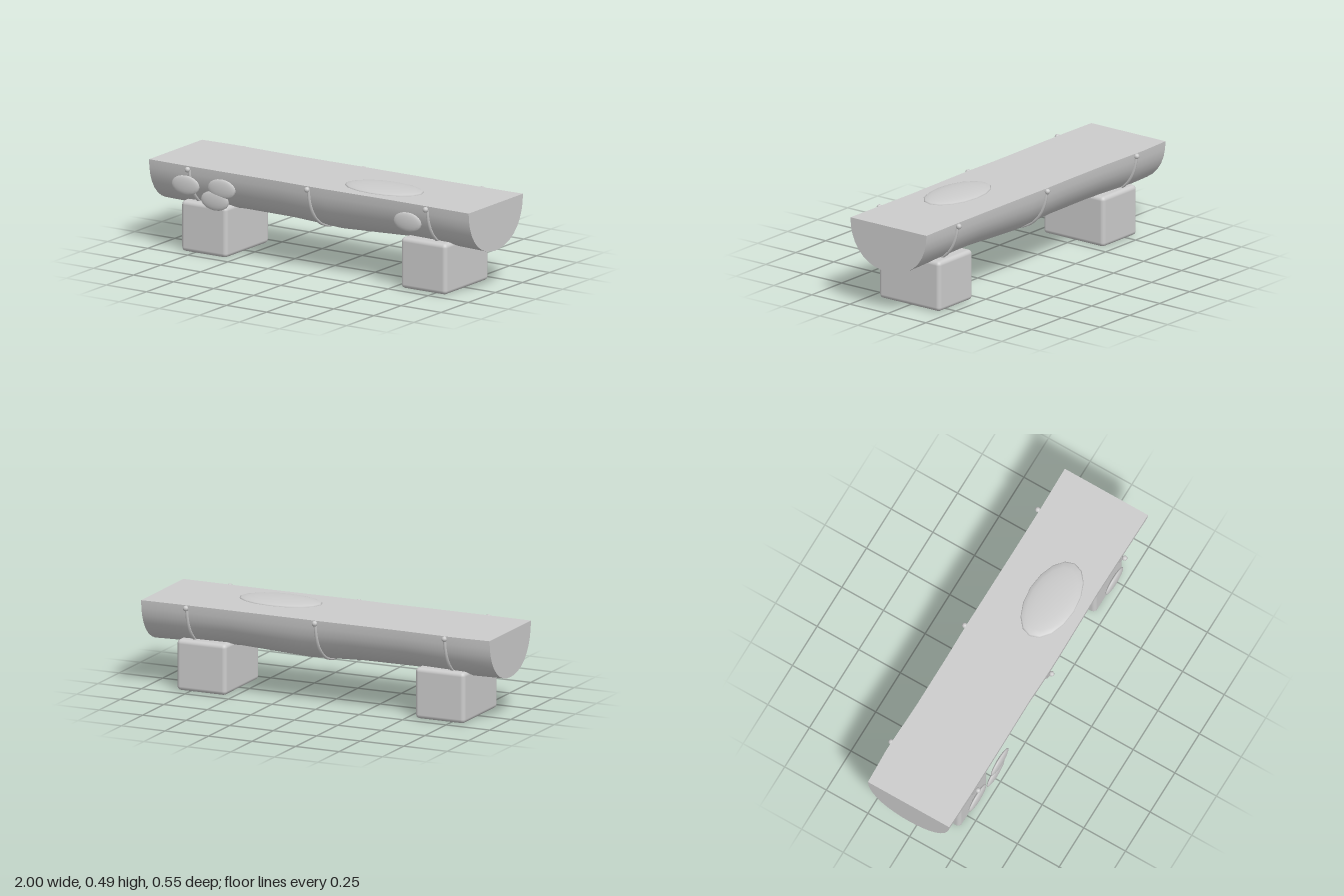
import * as THREE from 'three';
import { toCreasedNormals } from 'three/addons/utils/BufferGeometryUtils.js';
import { RoundedBoxGeometry } from 'three/addons/geometries/RoundedBoxGeometry.js';

const TOP = 0.473;
const ARC = 18;

// Cross-sections along the log: x, front half-width, back half-width, depth
const SECTIONS = [
  [-1, 0.238, 0.25, 0.247], [-0.8, 0.242, 0.258, 0.25], [-0.5, 0.242, 0.25, 0.236],
  [-0.2, 0.24, 0.25, 0.238], [0, 0.245, 0.253, 0.248], [0.1, 0.245, 0.252, 0.254],
  [0.5, 0.24, 0.25, 0.235], [0.75, 0.243, 0.25, 0.242], [1, 0.246, 0.254, 0.249],
];

// Interpolated section at x
function section(x) {
  const i = Math.max(1, SECTIONS.findIndex((s) => s[0] >= x));
  const a = SECTIONS[i - 1], b = SECTIONS[i];
  const t = (x - a[0]) / (b[0] - a[0]);
  return a.map((v, k) => THREE.MathUtils.lerp(v, b[k], t));
}

// Point on the rounded underside; angle 0 is the front rim, PI the back rim
function logPoint(x, angle, grow = 0) {
  const [, front, back, depth] = section(x);
  const c = Math.cos(angle);
  const bulge = 1 + 0.025 * Math.sin(2 * angle) ** 2;
  return new THREE.Vector3(
    x,
    TOP - (depth + grow) * Math.sin(angle) * bulge,
    ((c > 0 ? front : back) + grow) * c * bulge
  );
}

// Half log: lofted underside, flat seat and flat ends
function logGeometry() {
  const pos = [], index = [];
  const ring = ARC + 1;
  for (const [x] of SECTIONS) {
    for (let j = 0; j <= ARC; j++) pos.push(...logPoint(x, (j / ARC) * Math.PI).toArray());
  }
  const last = (SECTIONS.length - 1) * ring;
  for (let i = 0; i < SECTIONS.length - 1; i++) {
    for (let j = 0; j < ring; j++) {
      const a = i * ring + j, d = i * ring + (j + 1) % ring;
      index.push(a, d, d + ring, a, d + ring, a + ring);
    }
  }
  for (let j = 1; j < ARC; j++) {
    index.push(0, j + 1, j, last, last + j, last + j + 1);
  }
  const g = new THREE.BufferGeometry();
  g.setAttribute('position', new THREE.Float32BufferAttribute(pos, 3));
  g.setIndex(index);
  return toCreasedNormals(g.toNonIndexed(), 0.6);
}

export function createModel() {
  const model = new THREE.Group();
  const grey = new THREE.MeshStandardMaterial({ color: 0xcccccc });
  grey.name = 'plain grey';

  function add(name, geometry, x, y, z, parent = model) {
    const mesh = new THREE.Mesh(geometry, grey);
    mesh.name = name;
    mesh.position.set(x, y, z);
    parent.add(mesh);
    return mesh;
  }

  add('halfLogSeat', logGeometry(), 0, 0, 0);

  // Supporting blocks
  for (const [name, x] of [['rightBlock', -0.687], ['leftBlock', 0.683]]) {
    add(name, new RoundedBoxGeometry(0.284, 0.271, 0.4, 3, 0.022), x, 0.1355, 0);
  }

  // Straps slung under the log, with a round stud at each end
  for (const x of [-0.745, 0, 0.74]) {
    const strap = new THREE.Group();
    strap.name = 'strap';
    model.add(strap);
    const path = [];
    for (let j = 0; j <= 16; j++) {
      path.push(logPoint(x, 0.06 + (j / 16) * (Math.PI - 0.12), 0.002));
    }
    const curve = new THREE.CatmullRomCurve3(path);
    add('strapBand', new THREE.TubeGeometry(curve, 32, 0.009, 6), 0, 0, 0, strap);
    for (const z of [0.26, -0.262]) {
      add('strapStud', new THREE.SphereGeometry(0.015, 8, 6), x, 0.459, z, strap);
    }
  }

  // Flat oval patches on the front
  const oval = new THREE.SphereGeometry(1, 16, 10);
  for (const [x, y] of [[-0.755, 0.375], [-0.53, 0.386], [-0.572, 0.318], [0.63, 0.378]]) {
    add('frontPatch', oval, x, y, 0.263).scale.set(0.087, 0.052, 0.014);
  }

  // Large oval patch on the seat
  add('seatPatch', oval, 0.347, 0.471, 0.057).scale.set(0.235, 0.023, 0.133);

  return model;
}
